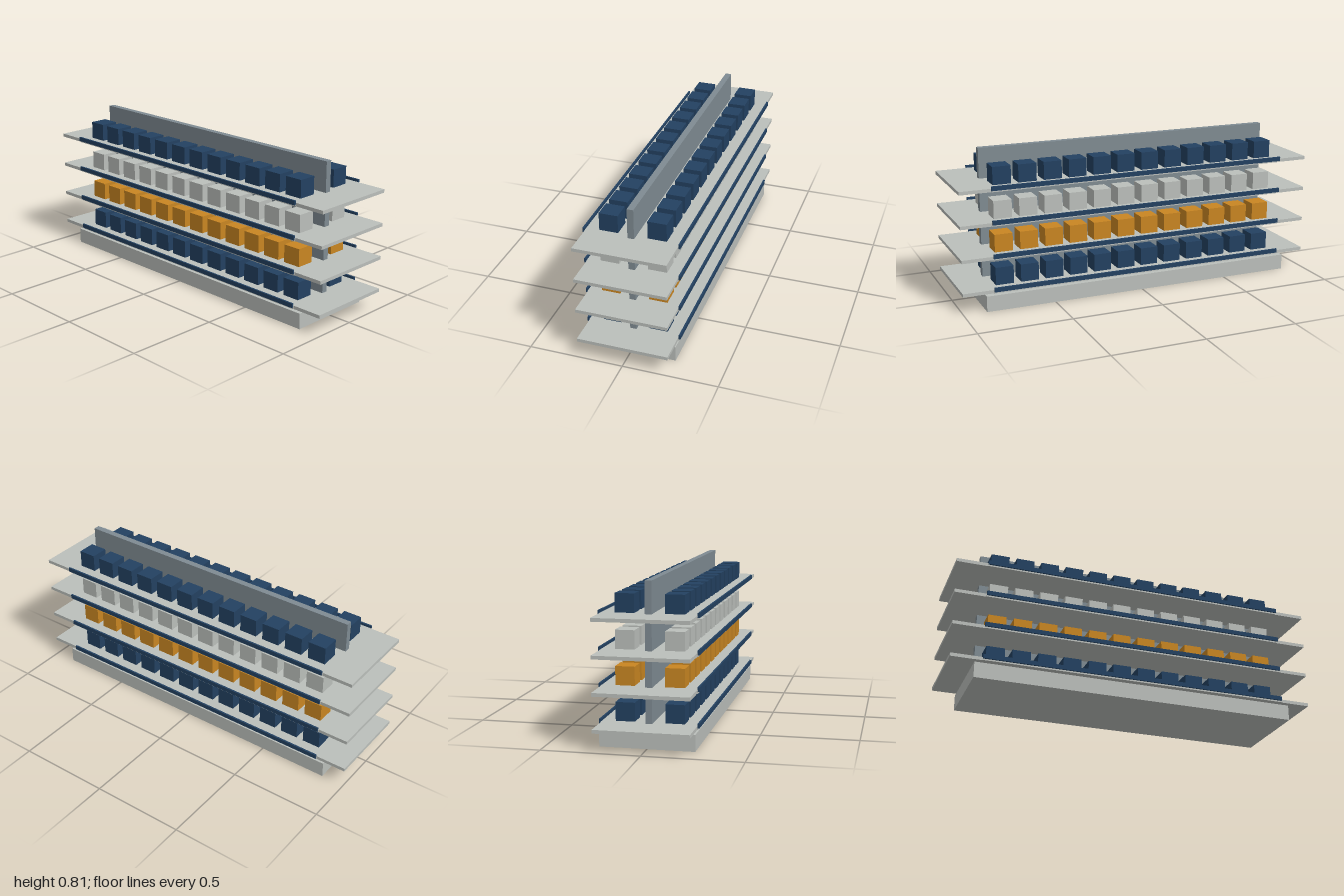
import * as THREE from 'three';

const material = (name, color) => {
  const m = new THREE.MeshStandardMaterial({ color });
  m.name = name;
  return m;
};

export function createModel() {
  const model = new THREE.Group();
  model.name = 'doubleSidedShelving';
  const paleGrey = material('paleGrey', 0xbbbfbb);
  const slate = material('slateGrey', 0x7f8b92);
  const navy = material('navy', 0x234161);
  const amber = material('amber', 0xc98622);

  // Box given by its size, underside height and x / z centre
  function box(parent, name, mat, [w, h, d], x, bottom, z) {
    const mesh = new THREE.Mesh(new THREE.BoxGeometry(w, h, d), mat);
    mesh.name = name;
    mesh.position.set(x, bottom + h / 2, z);
    parent.add(mesh);
  }

  // Plinth and central upright panel
  box(model, 'base', paleGrey, [0.478, 0.084, 1.75], 0, 0, 0);
  box(model, 'spinePanel', slate, [0.034, 0.732, 1.666], 0, 0.083, 0);

  // Four shelf levels, each with its own colour of goods
  const goods = [navy, amber, paleGrey, navy];
  const columns = 12, pitch = 0.1375;
  goods.forEach((mat, level) => {
    const shelf = new THREE.Group();
    shelf.name = `shelfLevel${level + 1}`;
    shelf.position.y = 0.097 + level * 0.1793;
    model.add(shelf);

    box(shelf, 'deck', paleGrey, [0.486, 0.018, 1.666], 0, 0, 0);
    for (const side of [-1, 1]) {
      // End display ledge and front edge rail
      box(shelf, 'endLedge', paleGrey, [0.478, 0.018, 0.167], 0, 0, side * 0.9165);
      box(shelf, 'edgeRail', navy, [0.01, 0.023, 1.666], side * 0.246, 0.008, 0);
      // Row of cartons
      for (let i = 0; i < columns; i++) {
        box(shelf, 'carton', mat, [0.098, 0.095, 0.098],
          side * 0.125, 0.018, (i - (columns - 1) / 2) * pitch);
      }
    }
  });
  return model;
}
